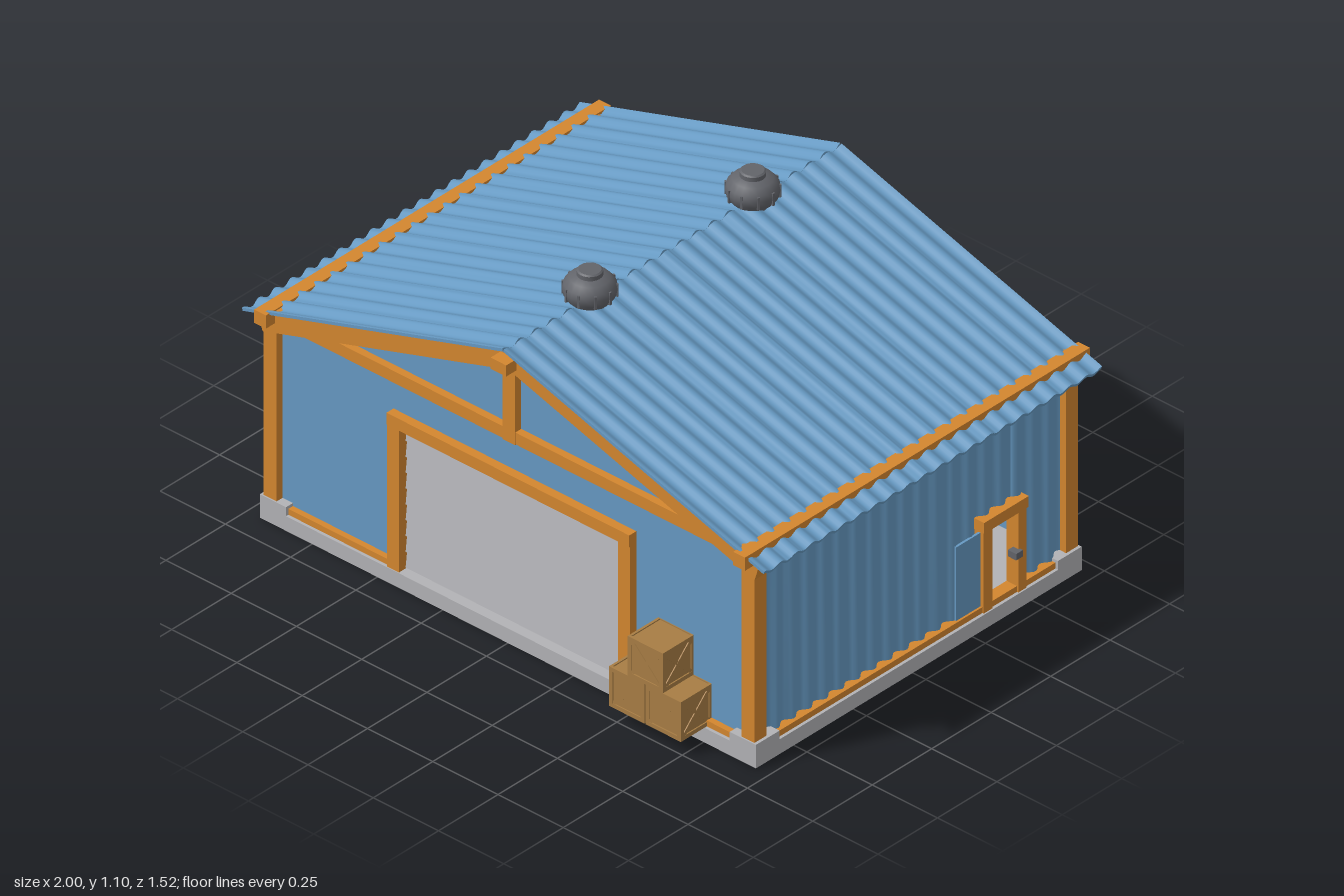
import * as THREE from 'three';
import { toCreasedNormals } from 'three/addons/utils/BufferGeometryUtils.js';

const paint = (name, color, side = THREE.FrontSide) => {
  const m = new THREE.MeshStandardMaterial({ color, side });
  m.name = name;
  return m;
};

export function createModel() {
  const blue = paint('blue sheet metal', 0x6699c2, THREE.DoubleSide);
  const orange = paint('orange timber', 0xd3862f);
  const grey = paint('pale concrete', 0xb2b2b5);
  const steel = paint('shutter steel', 0xb6b6ba);
  const dark = paint('dark metal', 0x62646a);
  const wood = paint('crate wood', 0xa87d44);

  const model = new THREE.Group();
  model.name = 'warehouse';
  const add = (name, geo, mat, parent = model) => {
    const mesh = new THREE.Mesh(geo, mat);
    mesh.name = name;
    parent.add(mesh);
    return mesh;
  };
  // Box given by its low and high limits on each axis
  const box = (name, mat, x0, x1, y0, y1, z0, z1, parent = model) => {
    const m = add(name, new THREE.BoxGeometry(x1 - x0, y1 - y0, z1 - z0), mat, parent);
    m.position.set((x0 + x1) / 2, (y0 + y1) / 2, (z0 + z1) / 2);
    return m;
  };

  // Corrugated sheet: waves along u, bulging along v, swept along w
  const PITCH = 0.0676;
  const sheet = (name, u0, u1, amp, thick, length, u, v, w, origin) => {
    const n = Math.max(2, Math.round((u1 - u0) / PITCH * 8));
    const top = [], bottom = [];
    for (let i = 0; i <= n; i++) {
      const t = u0 + (u1 - u0) * i / n;
      const h = amp * Math.cos(t / PITCH * Math.PI * 2);
      top.push(new THREE.Vector2(t, h + thick / 2));
      bottom.push(new THREE.Vector2(t, h - thick / 2));
    }
    const shape = new THREE.Shape([...bottom, ...top.reverse()]);
    let geo = new THREE.ExtrudeGeometry(shape, { depth: length, bevelEnabled: false });
    geo = toCreasedNormals(geo, 0.9);
    geo.applyMatrix4(new THREE.Matrix4().makeBasis(u, v, w).setPosition(origin));
    return add(name, geo, blue);
  };
  const V = (x, y, z) => new THREE.Vector3(x, y, z);

  // Foundation slab, raised corner footings and corner posts
  const FRONT = 0.66, BACK = -0.71;
  box('slab', grey, -0.95, 0.95, 0, 0.05, BACK, FRONT);
  for (const s of [-1, 1]) {
    const side = (name, mat, a, b, ...rest) =>
      box(name, mat, Math.min(s * a, s * b), Math.max(s * a, s * b), ...rest);
    for (const [z0, z1, p0, p1] of [[0.56, FRONT, 0.605, 0.655], [BACK, -0.61, -0.705, -0.655]]) {
      side('footing', grey, 0.89, 0.95, 0.04, 0.08, z0, z1);
      side('footing', grey, 0.85, 0.95, 0.04, 0.08, p0 - 0.003, p1 + 0.005);
      side('cornerPost', orange, 0.89, 0.94, 0.08, 0.71, p0, p1);
    }
    side('sideSill', orange, 0.9, 0.94, 0.05, 0.07, -0.62, 0.57);
    side('frontSill', orange, 0.465, 0.86, 0.05, 0.07, 0.61, 0.65);
    // Eave beam showing above the sheeting
    side('eaveBeam', orange, 0.895, 0.94, 0.685, 0.73, -0.755, 0.695);
  }
  box('ridgeBeam', orange, -0.03, 0.03, 0.94, 0.978, -0.76, 0.7);

  // Corrugated side walls, the left one pieced around its doorway
  const wallPiece = (s, z0, z1, y0, y1) => {
    const u0 = s > 0 ? z0 : -z1, u1 = s > 0 ? z1 : -z0;
    sheet('sideWall', u0, u1, 0.009, 0.008, y1 - y0, V(0, 0, s), V(s, 0, 0), V(0, 1, 0), V(s * 0.915, y0, 0));
  };
  wallPiece(-1, -0.66, 0.61, 0.05, 0.705);
  wallPiece(1, -0.66, -0.45, 0.05, 0.705);
  wallPiece(1, -0.45, -0.34, 0.325, 0.705);
  wallPiece(1, -0.34, 0.61, 0.05, 0.705);

  // Side doorway, its sliding leaf and handle
  box('sideDoorPost', orange, 0.9, 0.945, 0.05, 0.325, -0.34, -0.303);
  box('sideDoorPost', orange, 0.9, 0.945, 0.05, 0.325, -0.483, -0.449);
  box('sideDoorLintel', orange, 0.9, 0.95, 0.325, 0.362, -0.487, -0.3);
  box('sideDoorLeaf', blue, 0.925, 0.933, 0.05, 0.32, -0.31, -0.2);
  box('sideDoorHandle', dark, 0.925, 0.957, 0.175, 0.197, -0.455, -0.427);

  // Gable walls
  const gable = (name, z, hasDoor) => {
    const shape = new THREE.Shape();
    shape.moveTo(-0.91, 0.05);
    if (hasDoor) {
      shape.lineTo(-0.43, 0.05).lineTo(-0.43, 0.54).lineTo(0.43, 0.54).lineTo(0.43, 0.05);
    }
    shape.lineTo(0.91, 0.05).lineTo(0.91, 0.7).lineTo(0, 0.985).lineTo(-0.91, 0.7);
    const geo = new THREE.ExtrudeGeometry(shape, { depth: 0.015, bevelEnabled: false });
    add(name, geo, blue).position.z = z;
  };
  gable('frontWall', 0.615, true);
  gable('backWall', -0.68, false);

  // Roof slopes and the end trusses beneath them
  const SLOPE = Math.atan(0.31), c = Math.cos(SLOPE), sn = Math.sin(SLOPE);
  for (const s of [-1, 1]) {
    const u0 = s < 0 ? -0.74 : -0.68, u1 = s < 0 ? 0.68 : 0.74;
    sheet('roofSlope', u0, u1, 0.007, 0.01, 0.997 / c, V(0, 0, -s), V(s * sn, c, 0), V(s * c, -sn, 0), V(0, 1, 0));
    for (const z of [0.633, -0.683]) {
      const rafter = add('rafter', new THREE.BoxGeometry(0.99, 0.056, 0.048), orange);
      rafter.position.set(s * 0.478, 1 - 0.31 * 0.478 - 0.042, z);
      rafter.rotation.z = -s * SLOPE;
    }
  }
  for (const z of [0.633, -0.683]) {
    box('tieBeam', orange, -0.9, 0.9, 0.685, 0.725, z - 0.022, z + 0.022);
    box('kingPost', orange, -0.024, 0.024, 0.682, 0.95, z - 0.023, z + 0.023);
  }

  // Roller shutter with its frame
  for (const s of [-1, 1]) {
    box('shutterPost', orange, s * 0.4425 - 0.0225, s * 0.4425 + 0.0225, 0.05, 0.54, 0.6, 0.657);
  }
  box('shutterLintel', orange, -0.465, 0.465, 0.535, 0.575, 0.6, 0.66);
  box('shutterBacking', steel, -0.43, 0.43, 0.05, 0.54, 0.6, 0.612);
  const SLATS = 9, slatHeight = 0.485 / SLATS;
  for (let i = 0; i < SLATS; i++) {
    const slat = box('shutterSlat', steel, -0.425, 0.425, 0, slatHeight - 0.004, 0.61, 0.626);
    slat.position.y = 0.05 + (i + 0.5) * slatHeight;
    slat.rotation.x = -0.12;
  }

  // Crates with battens and crossed braces
  const crate = (x, y, z, crossed) => {
    const g = new THREE.Group();
    g.name = 'crate';
    g.position.set(x, y, z);
    model.add(g);
    const S = 0.135, H = S / 2;
    add('crateBody', new THREE.BoxGeometry(S - 0.008, S - 0.008, S - 0.008), wood, g);
    for (let i = 0; i < 4; i++) {
      const face = new THREE.Group();
      face.name = 'crateSide';
      face.rotation.y = i * Math.PI / 2;
      g.add(face);
      for (const s of [-1, 1]) {
        box('batten', wood, -H, H, s * (H - 0.007) - 0.007, s * (H - 0.007) + 0.007, H - 0.008, H, face);
        box('batten', wood, s * (H - 0.007) - 0.007, s * (H - 0.007) + 0.007, -H, H, H - 0.008, H, face);
        if (s < 0 && i === 0 && !crossed) continue;
        const brace = add('brace', new THREE.BoxGeometry(0.158, 0.013, 0.006), wood, face);
        brace.position.z = H - 0.0035 - (s < 0 ? 0.0005 : 0);
        brace.rotation.z = s * Math.PI / 4;
      }
    }
  };
  crate(0.546, 0.118, 0.692, false);
  crate(0.686, 0.118, 0.692, false);
  crate(0.617, 0.253, 0.692, true);

  // Ridge turbine vents with upright vanes
  const ventProfile = [[0.045, 0.96], [0.045, 1.0], [0.062, 1.003], [0.076, 1.022], [0.08, 1.042],
    [0.076, 1.06], [0.06, 1.078], [0.038, 1.086], [0.038, 1.1], [0.033, 1.104], [0, 1.104]]
    .map(([r, y]) => new THREE.Vector2(r, y));
  for (const z of [0.315, -0.37]) {
    const vent = new THREE.Group();
    vent.name = 'roofVent';
    vent.position.z = z;
    model.add(vent);
    add('ventBody', toCreasedNormals(new THREE.LatheGeometry(ventProfile, 20), 0.6), dark, vent);
    for (let i = 0; i < 10; i++) {
      const a = i / 10 * Math.PI * 2;
      const vane = add('ventVane', new THREE.BoxGeometry(0.014, 0.042, 0.008), dark, vent);
      vane.position.set(Math.cos(a) * 0.074, 1.038, Math.sin(a) * 0.074);
      vane.rotation.y = -a;
    }
  }
  return model;
}
